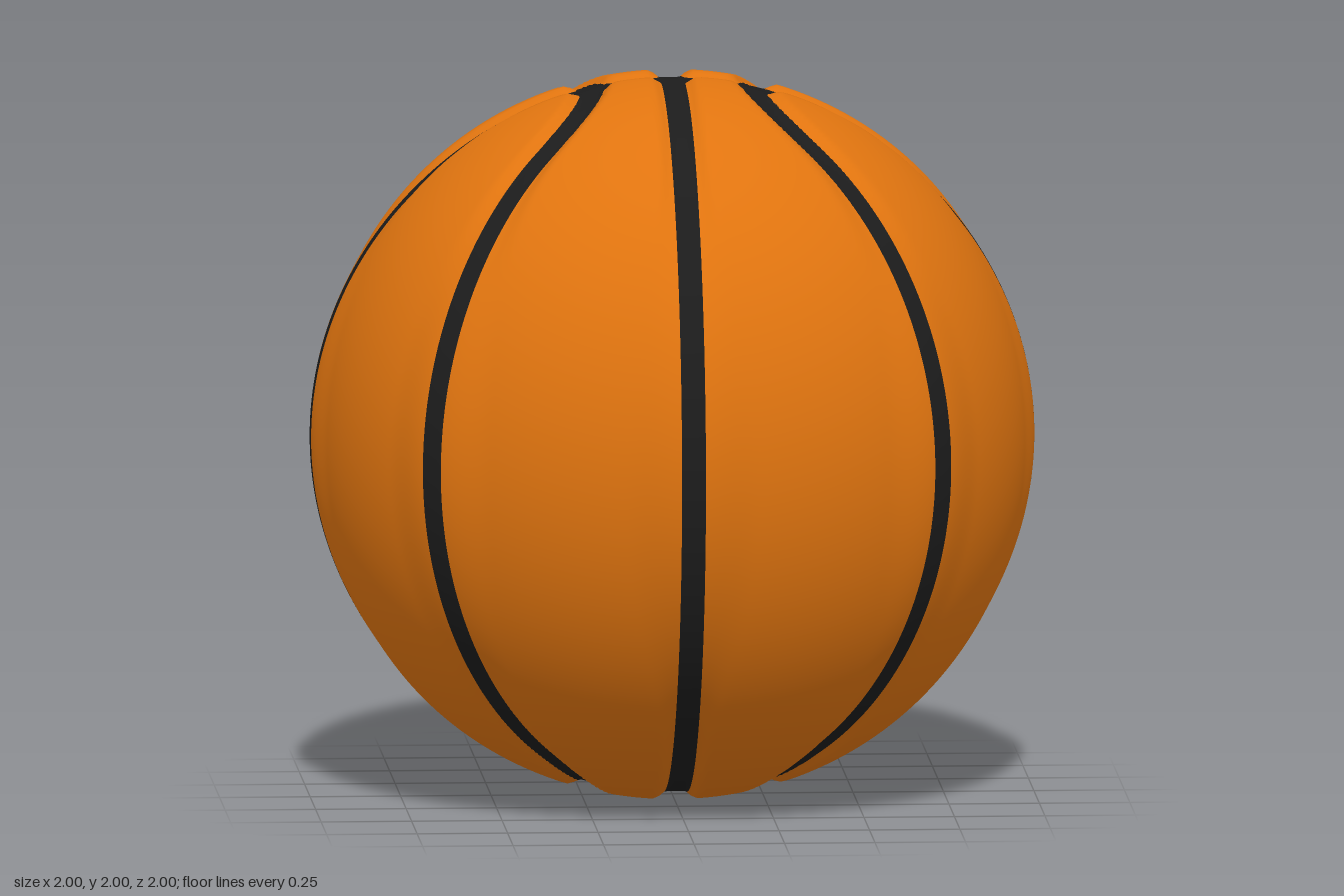
import * as THREE from 'three';
import { mergeVertices } from 'three/addons/utils/BufferGeometryUtils.js';

const SEAM = 0.033;      // half width of a seam
const ARC_X = 0.768;     // centre of the arc that joins two diagonal seams
const ARC_R = 0.543;

// Distance from a point of the unit sphere to the nearest seam, softened at crossings
function seamDistance(p) {
  const x = Math.abs(p.x), z = Math.abs(p.z), k = 0.012;
  const curved = x + z < ARC_X
    ? Math.abs(Math.hypot(x - ARC_X, z) - ARC_R)
    : Math.abs(x - z) / Math.SQRT2;
  const sum = [x, z, curved].reduce((s, d) => s + Math.exp(-d / k), 0);
  return -k * Math.log(sum);
}

// Seams are sunk at the poles and rise flush towards the equator
function surfaceRadius(p, d) {
  const e = (1 - p.y * p.y) ** 2;
  const seam = 0.985 + 0.015 * e;
  const panel = 1.007 - 0.025 * e;
  const t = THREE.MathUtils.smoothstep(d, SEAM - 0.006, SEAM + 0.026 + 0.13 * e);
  return seam + (panel - seam) * t;
}

// Evenly divided sphere made from a cube, displaced by the seam pattern
function ballSurface(n) {
  let geo = new THREE.BoxGeometry(2, 2, 2, n, n, n);
  geo.deleteAttribute('uv');
  geo.deleteAttribute('normal');
  geo = mergeVertices(geo, 1e-5);
  const pos = geo.attributes.position, dist = [], p = new THREE.Vector3();
  const warp = (c) => Math.tan(c * Math.PI / 4);
  for (let i = 0; i < pos.count; i++) {
    p.fromBufferAttribute(pos, i);
    p.set(warp(p.x), warp(p.y), warp(p.z)).normalize();
    const d = seamDistance(p);
    dist.push(d - SEAM);
    p.multiplyScalar(surfaceRadius(p, d));
    pos.setXYZ(i, p.x, p.y, p.z);
  }
  geo.computeVertexNormals();
  return { geo, dist };
}

// Keep the part of the surface on one side of the seam edge (sign +1 panels, -1 seams)
function clipSurface({ geo, dist }, sign) {
  const { position, normal } = geo.attributes, index = geo.index;
  const points = [], normals = [];
  const corner = (i) => ({
    p: new THREE.Vector3().fromBufferAttribute(position, i),
    n: new THREE.Vector3().fromBufferAttribute(normal, i),
    d: dist[i] * sign,
  });
  for (let f = 0; f < index.count; f += 3) {
    const tri = [0, 1, 2].map((j) => corner(index.getX(f + j)));
    const poly = [];
    tri.forEach((a, j) => {
      const b = tri[(j + 1) % 3];
      if (a.d >= 0) poly.push(a);
      if ((a.d >= 0) !== (b.d >= 0)) {
        const t = a.d / (a.d - b.d);
        poly.push({ p: a.p.clone().lerp(b.p, t), n: a.n.clone().lerp(b.n, t).normalize() });
      }
    });
    for (let j = 1; j + 1 < poly.length; j++) {
      for (const v of [poly[0], poly[j], poly[j + 1]]) {
        points.push(v.p.x, v.p.y, v.p.z);
        normals.push(v.n.x, v.n.y, v.n.z);
      }
    }
  }
  const out = new THREE.BufferGeometry();
  out.setAttribute('position', new THREE.Float32BufferAttribute(points, 3));
  out.setAttribute('normal', new THREE.Float32BufferAttribute(normals, 3));
  return out;
}

export function createModel() {
  const ball = new THREE.Group();
  ball.name = 'basketball';
  const surface = ballSurface(100);
  const addPart = (name, sign, color) => {
    const mesh = new THREE.Mesh(clipSurface(surface, sign), new THREE.MeshStandardMaterial({ color }));
    mesh.name = name;
    mesh.position.y = 1;
    ball.add(mesh);
  };
  addPart('panels', 1, 0xe0740f);
  addPart('seams', -1, 0x1c1c1c);
  return ball;
}
